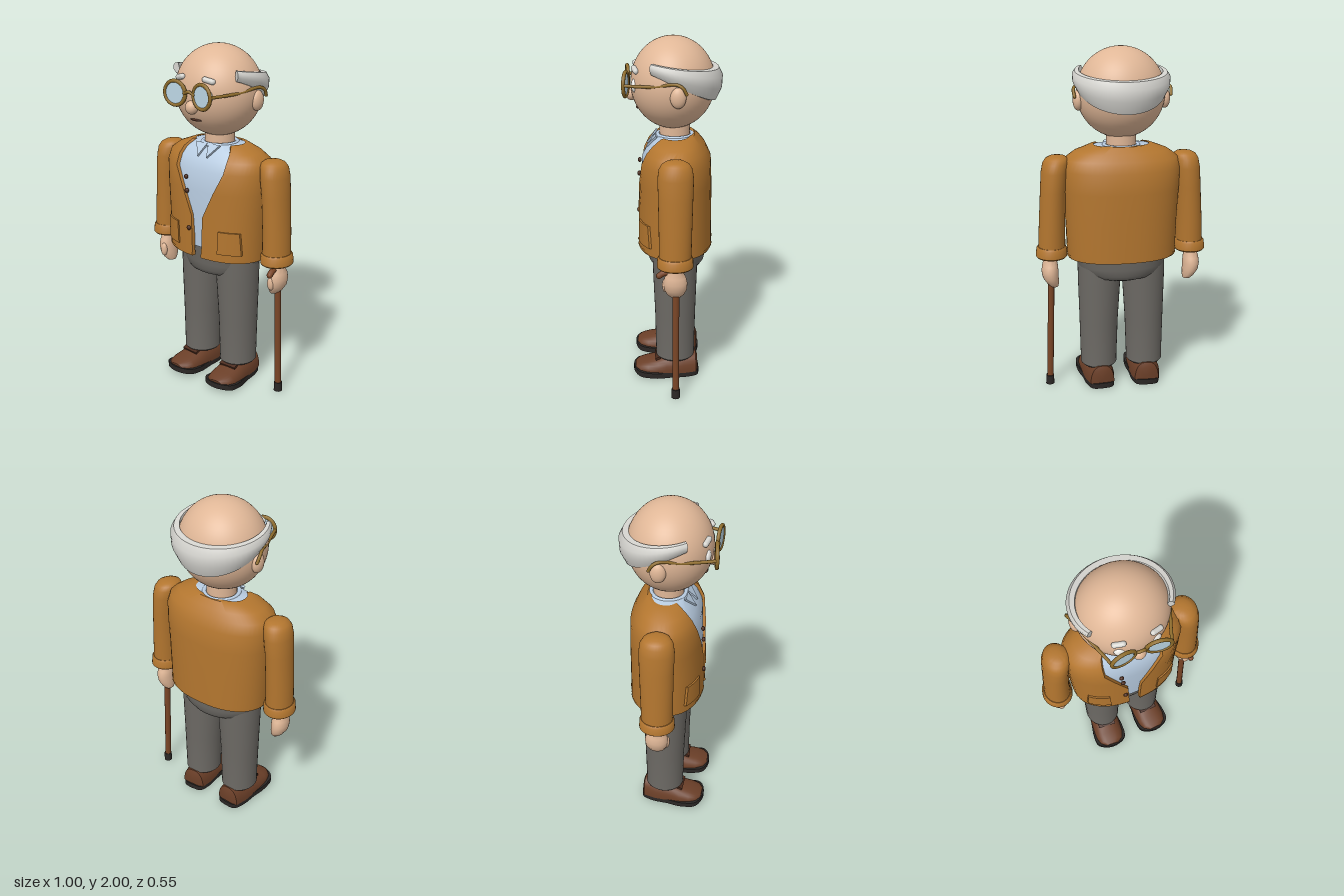
import * as THREE from 'three';
import { mergeGeometries, toCreasedNormals } from 'three/addons/utils/BufferGeometryUtils.js';

const mat = (color, side = THREE.FrontSide) => new THREE.MeshStandardMaterial({ color, side });
const skin = mat(0xe0b797), hairGrey = mat(0xd6d5d0), cloth = mat(0xb3762f, THREE.DoubleSide), shirtBlue = mat(0xb9cde2),
  grey = mat(0x6c6964), leather = mat(0x6b3f28), black = mat(0x2b2725), brass = mat(0x8f6d2c),
  wood = mat(0x7a4526), lensBlue = mat(0xbcd6e4), white = mat(0xf2f0ec), dark = mat(0x4a2a1c);
const V = (x, y, z) => new THREE.Vector3(x, y, z);
const spow = (v, p) => Math.sign(v) * Math.pow(Math.abs(v), p);

export function createModel() {
  const model = new THREE.Group();
  const add = (name, geo, material, x = 0, y = 0, z = 0) => {
    const m = new THREE.Mesh(geo, material);
    m.name = name;
    m.position.set(x, y, z);
    model.add(m);
    return m;
  };
  const ball = (name, material, x, y, z, rx, ry, rz, seg = 24) =>
    add(name, new THREE.SphereGeometry(1, seg * 2, seg).scale(rx, ry, rz), material, x, y, z);
  // Round-ended tube through points
  const tube = (name, material, pts, r, seg = 24) => {
    const ends = [pts[0], pts[pts.length - 1]].map(p => new THREE.SphereGeometry(r, 12, 8).translate(p.x, p.y, p.z));
    return add(name, mergeGeometries([new THREE.TubeGeometry(new THREE.CatmullRomCurve3(pts), seg, r, 12), ...ends]), material);
  };

  // Skin a list of closed rings, with optional end caps
  function loft(rings, caps = true, crease = 0.7) {
    const n = rings[0].length, pos = [], idx = [];
    rings.forEach(r => r.forEach(p => pos.push(p.x, p.y, p.z)));
    for (let j = 0; j < rings.length - 1; j++) for (let i = 0; i < n; i++) {
      const a = j * n + i, b = j * n + (i + 1) % n;
      idx.push(a, b, b + n, a, b + n, a + n);
    }
    if (caps) [0, rings.length - 1].forEach((j, top) => {
      const c = rings[j].reduce((s, p) => s.add(p), V(0, 0, 0)).divideScalar(n), k = pos.length / 3;
      pos.push(c.x, c.y, c.z);
      for (let i = 0; i < n; i++) {
        const a = j * n + i, b = j * n + (i + 1) % n;
        top ? idx.push(a, b, k) : idx.push(b, a, k);
      }
    });
    const g = new THREE.BufferGeometry();
    g.setAttribute('position', new THREE.Float32BufferAttribute(pos, 3));
    g.setIndex(idx);
    return toCreasedNormals(g, crease);
  }
  // Upright limb from rows of [y, centre x, centre z, radius x, radius z], listed from the bottom up
  const limb = (rows, s = 1, n = 32, p = 1) => loft(rows.map(([y, cx, cz, rx, rz]) =>
    Array.from({ length: n }, (_, i) => {
      const a = i / n * Math.PI * 2;
      return V(cx * s + rx * spow(Math.sin(a), p), y, cz + rz * spow(Math.cos(a), p));
    })));

  // Head and face
  ball('head', skin, 0, 1.745, 0, 0.25, 0.255, 0.235, 32);
  add('neck', new THREE.CylinderGeometry(0.085, 0.085, 0.14, 32), skin, 0, 1.47, -0.01);
  ball('nose', skin, 0, 1.68, 0.23, 0.037, 0.038, 0.035, 12);
  ball('mouth', dark, 0, 1.606, 0.194, 0.04, 0.008, 0.012, 10);

  // Band of hair round the back of the head, deeper and thicker behind
  const hairRings = [];
  for (let i = 0; i <= 40; i++) {
    const a = THREE.MathUtils.lerp(1.06, Math.PI * 2 - 1.06, i / 40);
    const s = (0.5 - Math.cos(a)) / 1.5, fat = 0.03 + 0.12 * s;
    const top = 1.885 - 0.05 * s, bottom = 1.825 - 0.175 * Math.pow(s, 1.2);
    hairRings.push([[0.94, 1], [0.99 + fat * 0.6, 0.98], [1.02 + fat, 0.75], [1.02 + fat * 0.9, 0.4], [0.98 + fat * 0.3, 0.03], [0.88, 0]]
      .map(([k, v]) => V(0.25 * k * Math.sin(a), bottom + (top - bottom) * v, 0.235 * k * Math.cos(a))));
  }
  add('hair', loft(hairRings, true, 0.8), hairGrey);

  // Jacket rows: y, radius x, radius z, half-width of the front opening
  const rows = [[0.805, 0.315, 0.212, 0.032], [0.83, 0.317, 0.212, 0.033], [1.05, 0.325, 0.21, 0.04], [1.2, 0.335, 0.208, 0.11],
    [1.32, 0.34, 0.203, 0.17], [1.38, 0.325, 0.175, 0.172], [1.42, 0.27, 0.145, 0.165], [1.455, 0.18, 0.11, 0.14]];
  const zc = -0.012, P = 0.87;
  const rowAt = y => {
    const j = Math.min(rows.length - 2, Math.max(0, rows.findIndex(r => r[0] > y) - 1));
    const t = (y - rows[j][0]) / (rows[j + 1][0] - rows[j][0]);
    return rows[j].map((v, k) => v + (rows[j + 1][k] - v) * t);
  };
  // Jacket front surface at a given x and y, pushed out by d
  const frontZ = (x, y, d = 0) => {
    const r = rowAt(y);
    return zc + (r[2] + d) * Math.pow(1 - Math.pow(Math.abs(x) / (r[1] + d), 2 / P), P / 2);
  };
  // C-shaped ring: outer wall one way round, inner wall back
  const jacketRing = ([y, rx, rz, gap], dOut, dIn) => {
    const a0 = Math.asin(Math.pow(gap / rx, 1 / P)), n = 48;
    return [dOut, dIn].flatMap((d, inner) => Array.from({ length: n + 1 }, (_, i) => {
      const a = a0 + (Math.PI * 2 - 2 * a0) * (inner ? n - i : i) / n;
      return V((rx - d) * spow(Math.sin(a), P), y, zc + (rz - d) * spow(Math.cos(a), P));
    }));
  };
  add('jacket', loft([jacketRing(rows[0], 0.022, 0.022), ...rows.map(r => jacketRing(r, 0, 0.022)),
    jacketRing(rows[rows.length - 1], 0.022, 0.022)], false), cloth);
  add('hemBand', loft([0.812, 0.828].map(y => jacketRing(rowAt(y), -0.004, 0.01)), false), cloth);

  // Shirt, collar band and pelvis
  add('shirt', limb([[0.86, 0, zc, 0.29, 0.186], ...rows.slice(2).map(r => [r[0] - 0.004, 0, zc, r[1] - 0.018, r[2] - 0.016])], 1, 64, P), shirtBlue);
  add('collarBand', new THREE.TorusGeometry(0.098, 0.013, 10, 40).rotateX(Math.PI / 2), shirtBlue, 0, 1.446, -0.01);
  add('pelvis', limb([[0.666, 0, -0.02, 0.06, 0.07], [0.671, 0, -0.02, 0.13, 0.12], [0.686, 0, -0.02, 0.2, 0.15], [0.71, 0, -0.02, 0.237, 0.163],
    [0.75, 0, -0.02, 0.256, 0.17], [0.89, 0, -0.014, 0.28, 0.178]], 1, 48), grey);

  // Jacket buttons
  [[-0.08, 1.27], [-0.072, 1.19], [-0.057, 0.97]].forEach(([x, y]) =>
    ball('button', dark, x, y, frontZ(x, y, 0.004), 0.014, 0.014, 0.011, 8));

  for (const s of [-1, 1]) {
    // Ears, eyes and brows
    ball('ear', skin, s * 0.245, 1.71, -0.03, 0.03, 0.057, 0.043, 14);
    ball('eye', white, s * 0.092, 1.745, 0.205, 0.035, 0.04, 0.022, 12);
    const brow = add('eyebrow', new THREE.CapsuleGeometry(0.016, 0.045, 6, 12).rotateZ(Math.PI / 2), hairGrey, s * 0.1, 1.832, 0.205);
    brow.rotation.set(0, s * 0.3, -s * 0.22);

    // Spectacles
    const spec = new THREE.Group();
    spec.name = 'spectacleFrame';
    const rim = new THREE.Mesh(new THREE.TorusGeometry(0.066, 0.0105, 10, 36), brass);
    rim.name = 'rim';
    const lens = new THREE.Mesh(new THREE.CylinderGeometry(0.064, 0.064, 0.008, 36).rotateX(Math.PI / 2), lensBlue);
    lens.name = 'lens';
    spec.add(rim, lens);
    spec.position.set(s * 0.095, 1.752, 0.257);
    spec.rotation.y = -s * 0.13;
    model.add(spec);
    tube('temple', brass, [V(s * 0.16, 1.757, 0.264), V(s * 0.185, 1.758, 0.19), V(s * 0.222, 1.765, 0.09),
      V(s * 0.262, 1.785, -0.02), V(s * 0.274, 1.77, -0.055), V(s * 0.27, 1.735, -0.075)], 0.009);

    // Shirt collar flap
    const flap = new THREE.Shape([[0.004, 0], [0.085, 0], [0.032, -0.085]].map(([x, y]) => new THREE.Vector2(s * x, y)));
    const collar = add('collarFlap', new THREE.ExtrudeGeometry(flap, { depth: 0.012, bevelEnabled: false }), shirtBlue, 0, 1.449, 0.088);
    collar.rotation.x = -0.68;

    // Patch pocket following the jacket front
    const N = 8, pocket = [0.855, 0.988].map((y, j) => [0.009, -0.01].flatMap((d, k) =>
      Array.from({ length: N + 1 }, (_, i) => {
        const t = k ? 1 - i / N : i / N, w = 0.126 - j * 0.014;
        const x = s * 0.206 + w * (t - 0.5);
        return V(x, y, frontZ(x, y, d));
      })));
    add('pocket', loft(pocket), cloth);

    // Sleeve and turned-up cuff
    add('sleeve', limb([[0.84, 0.408, -0.016, 0.078, 0.088], [1.0, 0.404, -0.017, 0.075, 0.09], [1.2, 0.394, -0.018, 0.073, 0.094],
      [1.31, 0.384, -0.018, 0.076, 0.097], [1.36, 0.377, -0.018, 0.073, 0.09], [1.385, 0.371, -0.018, 0.064, 0.074],
      [1.398, 0.367, -0.018, 0.045, 0.05], [1.403, 0.367, -0.018, 0.02, 0.022]], s), cloth);
    add('cuff', limb([[0.808, 0.41, -0.016, 0.084, 0.094], [0.815, 0.41, -0.016, 0.09, 0.1],
      [0.86, 0.409, -0.016, 0.088, 0.098], [0.872, 0.408, -0.016, 0.08, 0.091]], s), cloth);

    // Hand and thumb
    add('hand', limb([[0.618, 0.394, -0.018, 0.006, 0.01], [0.625, 0.397, -0.018, 0.022, 0.03], [0.645, 0.406, -0.018, 0.035, 0.048],
      [0.68, 0.418, -0.018, 0.046, 0.062], [0.72, 0.422, -0.018, 0.049, 0.066], [0.755, 0.421, -0.017, 0.046, 0.058],
      [0.78, 0.42, -0.016, 0.04, 0.045], [0.82, 0.42, -0.016, 0.04, 0.042]], s, 24), skin);
    ball('thumb', skin, s * 0.41, 0.7, 0.038, 0.022, 0.042, 0.018, 10);

    // Trouser leg
    add('trouserLeg', limb([[0.118, 0.139, -0.014, 0.1, 0.104], [0.128, 0.139, -0.014, 0.108, 0.114], [0.145, 0.139, -0.014, 0.107, 0.113],
      [0.4, 0.137, -0.014, 0.114, 0.118], [0.65, 0.132, -0.013, 0.125, 0.127], [0.84, 0.13, -0.013, 0.129, 0.13]], s), grey);

    // Shoe with upturned toe
    const shoe = new THREE.Group();
    shoe.name = 'shoe';
    const lift = z => Math.max(0, z - 0.08) * 0.14;
    const upper = loft([[-0.146, 0.045, 0.08], [-0.135, 0.072, 0.108], [-0.06, 0.088, 0.108], [0.04, 0.09, 0.095], [0.09, 0.092, 0.076],
      [0.15, 0.09, 0.053], [0.195, 0.076, 0.034], [0.222, 0.04, 0.016]].map(([z, w, h]) => Array.from({ length: 28 }, (_, i) => {
      const a = i / 28 * Math.PI * 2;
      return V(w * spow(Math.cos(a), 0.7), 0.03 + lift(z) + h * Math.max(0, Math.sin(a)), z);
    })));
    const outline = new THREE.Shape(new THREE.SplineCurve([[0, -0.155], [0.06, -0.143], [0.085, -0.07], [0.09, 0.02], [0.103, 0.12],
      [0.09, 0.2], [0, 0.234], [-0.09, 0.2], [-0.103, 0.12], [-0.09, 0.02], [-0.085, -0.07], [-0.06, -0.143], [0, -0.155]]
      .map(p => new THREE.Vector2(...p))).getPoints(48));
    const sole = new THREE.ExtrudeGeometry(outline, { depth: 0.032, bevelEnabled: false }).rotateX(Math.PI / 2).translate(0, 0.034, 0);
    const p = sole.attributes.position;
    for (let i = 0; i < p.count; i++) p.setY(i, p.getY(i) + lift(p.getZ(i)));
    const strap = new THREE.BoxGeometry(0.11, 0.014, 0.03).rotateX(0.4).translate(0, 0.114, 0.09);
    [['upper', upper, leather], ['sole', toCreasedNormals(sole, 0.7), black], ['strap', strap, dark]].forEach(([name, g, m]) => {
      const mesh = new THREE.Mesh(g, m);
      mesh.name = name;
      shoe.add(mesh);
    });
    shoe.position.x = s * 0.143;
    shoe.rotation.y = s * 0.06;
    model.add(shoe);
  }
  tube('bridge', brass, [V(-0.034, 1.755, 0.25), V(0, 1.768, 0.256), V(0.034, 1.755, 0.25)], 0.009, 10);

  // Walking cane held in the left hand
  tube('caneShaft', wood, [V(0.436, 0.04, -0.02), V(0.424, 0.4, -0.02), V(0.416, 0.7, -0.02)], 0.019);
  tube('caneHandle', wood, [V(0.416, 0.7, -0.02), V(0.416, 0.755, -0.01), V(0.42, 0.78, 0.025), V(0.424, 0.778, 0.05), V(0.426, 0.764, 0.072)], 0.017);
  add('caneTip', new THREE.CylinderGeometry(0.023, 0.025, 0.055, 16), black, 0.437, 0.0285, -0.02);
  return model;
}
